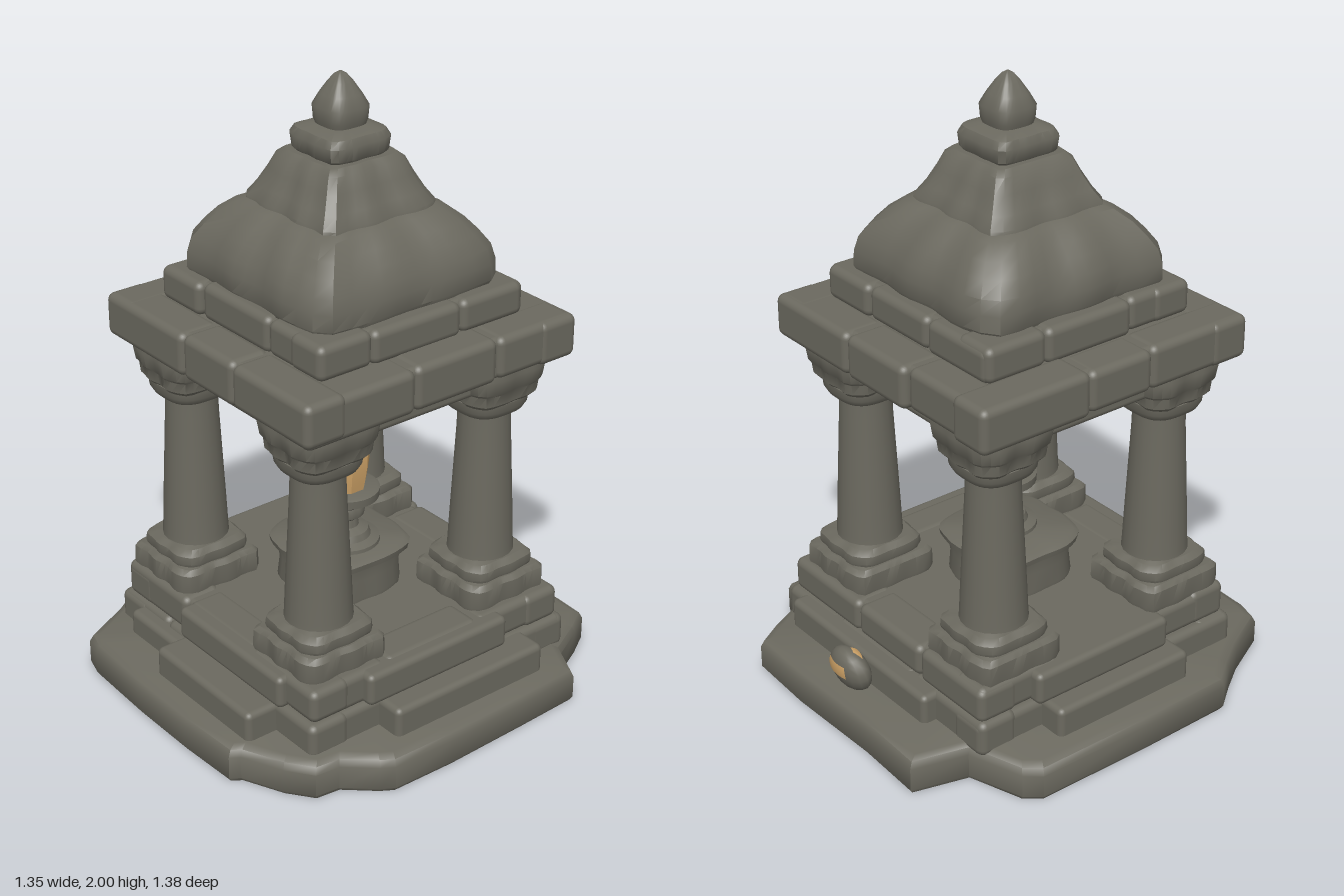
import * as THREE from 'three';
import { toCreasedNormals } from 'three/addons/utils/BufferGeometryUtils.js';
import { RoundedBoxGeometry } from 'three/addons/geometries/RoundedBoxGeometry.js';

const material = (name, color) => Object.assign(new THREE.MeshStandardMaterial({ color }), { name });
const stone = material('stone', 0x6b695f);
const wax = material('flame amber', 0xd0a468);
const ash = material('flame grey', 0x74767a);

// Small seeded jitter in -1..1
let seed = 7;
const jitter = () => {
  seed = (seed * 16807) % 2147483647;
  return (seed / 2147483647) * 2 - 1;
};

function add(parent, name, geometry, mat = stone, x = 0, y = 0, z = 0) {
  const mesh = new THREE.Mesh(geometry, mat);
  mesh.name = name;
  mesh.position.set(x, y, z);
  parent.add(mesh);
  return mesh;
}

// Unit outline between a circle (power 2) and a square (high power)
function squircle(power, n = 40) {
  return Array.from({ length: n }, (_, i) => {
    const a = ((i + 0.5) / n) * Math.PI * 2;
    const c = Math.cos(a), s = Math.sin(a);
    const r = (Math.abs(c) ** power + Math.abs(s) ** power) ** (-1 / power);
    return [c * r, s * r];
  });
}

// Stack scaled copies of an outline; sections are [y, scale, dx, dz]
function loft(outline, sections, crease = 0.6, wear = 0) {
  const n = outline.length, pos = [], index = [];
  for (const [y, s, dx = 0, dz = 0] of sections) {
    outline.forEach(([x, z]) => {
      const w = s * (1 + wear * Math.sin(9 * x + 7 * y) * Math.cos(8 * z - 5 * y));
      pos.push(x * w + dx, y, z * w + dz);
    });
  }
  for (let j = 0; j < sections.length - 1; j++) {
    for (let i = 0; i < n; i++) {
      const a = j * n + i, b = j * n + (i + 1) % n;
      index.push(a, a + n, b, b, a + n, b + n);
    }
  }
  // End caps
  [0, sections.length - 1].forEach((j) => {
    const [y, , dx = 0, dz = 0] = sections[j];
    const centre = pos.length / 3;
    pos.push(dx, y, dz);
    for (let i = 0; i < n; i++) {
      const a = j * n + i, b = j * n + (i + 1) % n;
      if (j === 0) index.push(centre, a, b);
      else index.push(centre, b, a);
    }
  });
  const g = new THREE.BufferGeometry();
  g.setAttribute('position', new THREE.Float32BufferAttribute(pos, 3));
  g.setIndex(index);
  return toCreasedNormals(g, crease);
}

// Worn block given by its limits
function block(parent, name, x0, x1, y0, y1, z0, z1, r = 0.02) {
  const g = new RoundedBoxGeometry(x1 - x0, y1 - y0, z1 - z0, 3, r);
  return add(parent, name, g, stone, (x0 + x1) / 2, (y0 + y1) / 2, (z0 + z1) / 2);
}

// Square course: a core with uneven facing blocks along each side
function course(parent, name, half, y0, y1, cuts, cx = 0, cz = 0) {
  const group = new THREE.Group();
  group.name = name;
  group.position.set(cx, 0, cz);
  parent.add(group);
  block(group, name + 'Core', -half + 0.02, half - 0.02, y0, y1 - 0.004, -half + 0.02, half - 0.02);
  for (let side = 0; side < 4; side++) {
    const face = new THREE.Group();
    face.name = name + 'Side';
    face.rotation.y = side * Math.PI / 2;
    group.add(face);
    const ends = [-1, ...cuts.map((c) => c + jitter() * 0.1), 1];
    for (let i = 0; i < ends.length - 1; i++) {
      const out = half + jitter() * 0.009;
      block(face, name + 'Block', ends[i] * half, ends[i + 1] * half,
        y0 + jitter() * 0.004, y1 + jitter() * 0.005, half - 0.14, out, 0.025);
    }
  }
}

export function createModel() {
  seed = 7;
  const model = new THREE.Group();
  model.name = 'stoneShrine';
  const square = squircle(14, 48), soft = squircle(5), round = squircle(2, 28);

  // Irregular ground slab
  const plan = [[-0.4, -0.69], [-0.15, -0.68], [0.2, -0.69], [0.42, -0.68], [0.47, -0.6], [0.53, -0.48],
    [0.65, -0.42], [0.66, -0.2], [0.67, 0.1], [0.665, 0.32], [0.64, 0.36], [0.56, 0.45], [0.55, 0.53],
    [0.47, 0.59], [0.34, 0.65], [0.32, 0.68], [0.1, 0.69], [-0.15, 0.69], [-0.4, 0.68], [-0.47, 0.66],
    [-0.55, 0.5], [-0.61, 0.41], [-0.67, 0.33], [-0.675, 0], [-0.67, -0.4], [-0.63, -0.45], [-0.45, -0.51]];
  add(model, 'groundSlab', loft(plan, [[0, 0.985], [0.015, 1], [0.09, 1], [0.112, 0.985], [0.122, 0.95]], 0.75));

  // Steps, with projecting blocks on each side
  course(model, 'lowerStep', 0.505, 0.1, 0.215, [-0.4, 0.3]);
  block(model, 'leftTread', 0.4, 0.59, 0.1, 0.215, -0.34, 0.25);
  block(model, 'rightTread', -0.59, -0.4, 0.1, 0.215, -0.27, 0.25);
  block(model, 'frontTread', -0.15, 0.33, 0.1, 0.215, 0.4, 0.615);
  block(model, 'frontTreadSide', -0.4, -0.14, 0.1, 0.2, 0.4, 0.545);
  block(model, 'backTread', -0.28, 0.43, 0.1, 0.215, -0.55, -0.4);
  course(model, 'upperStep', 0.49, 0.21, 0.322, [-0.35, 0.35]);
  block(model, 'upperStepLeft', 0.4, 0.52, 0.21, 0.318, -0.25, 0.3);
  block(model, 'upperStepRight', -0.525, -0.4, 0.21, 0.318, -0.3, 0.22);
  block(model, 'upperStepFront', -0.16, 0.36, 0.21, 0.318, 0.4, 0.52);

  // Four columns with stepped feet and flared capitals
  const shaft = [[0.107, 0.44], [0.104, 0.47], [0.1, 0.56], [0.092, 0.72], [0.084, 0.88], [0.082, 0.955]]
    .map(([r, y]) => new THREE.Vector2(r, y));
  for (const sx of [-1, 1]) for (const sz of [-1, 1]) {
    const column = new THREE.Group();
    column.name = 'column';
    column.position.set(sx * 0.318 - 0.014, 0, sz * 0.323 + 0.003);
    model.add(column);
    add(column, 'columnFoot', loft(square, [[0.31, 0.143], [0.33, 0.148], [0.385, 0.146], [0.4, 0.132]], 0.7, 0.03));
    add(column, 'columnFootTop', loft(soft, [[0.395, 0.124], [0.41, 0.13], [0.435, 0.128], [0.452, 0.11]], 0.7, 0.03));
    add(column, 'columnShaft', new THREE.LatheGeometry(shaft, 20));
    add(column, 'columnCollar', loft(squircle(3), [[0.945, 0.085], [0.955, 0.105], [0.975, 0.116],
      [1, 0.118], [1.01, 0.108]], 0.7));
    add(column, 'columnCapital', loft(soft, [[0.995, 0.112], [1.01, 0.126], [1.045, 0.13], [1.055, 0.138],
      [1.1, 0.145], [1.135, 0.14]], 0.6, 0.03));
  }

  // Lintel beams joining the capitals
  for (const s of [-1, 1]) {
    block(model, 'lintel', -0.35, 0.32, 1.04, 1.14, s * 0.32 - 0.085, s * 0.32 + 0.085);
    block(model, 'lintel', s * 0.318 - 0.099, s * 0.318 + 0.071, 1.04, 1.14, -0.32, 0.32);
  }

  // Eaves and the course above
  course(model, 'eaves', 0.505, 1.13, 1.268, [-0.3, 0.35], -0.01);
  course(model, 'roofCourse', 0.385, 1.26, 1.37, [-0.4, 0.3]);

  // Curved square roof in two stages
  add(model, 'lowerRoof', loft(square, [[1.36, 0.335], [1.38, 0.345], [1.43, 0.342], [1.475, 0.332], [1.52, 0.305],
    [1.56, 0.275], [1.595, 0.235], [1.612, 0.2]], 0.6, 0.03));
  add(model, 'upperRoof', loft(square, [[1.59, 0.215], [1.615, 0.212], [1.65, 0.19], [1.7, 0.165],
    [1.745, 0.145], [1.762, 0.125]], 0.6, 0.03));

  // Finial
  add(model, 'finialBase', loft(squircle(7), [[1.755, 0.1], [1.77, 0.114], [1.81, 0.118], [1.832, 0.106],
    [1.845, 0.07]], 0.7, 0.03));
  add(model, 'finial', loft(squircle(3.4), [[1.835, 0.062], [1.86, 0.07], [1.9, 0.073], [1.935, 0.055],
    [1.97, 0.033], [1.992, 0.016], [2, 0.004]], 0.9));

  // Altar with waisted sides
  add(model, 'altar', loft(squircle(3.5), [[0.31, 0.165], [0.33, 0.168], [0.39, 0.163], [0.43, 0.168],
    [0.445, 0.188], [0.465, 0.192], [0.475, 0.175]], 0.7, 0.02)).position.set(0.005, 0, 0.01);

  // Lamp bowl
  const lamp = new THREE.Group();
  lamp.name = 'lamp';
  lamp.position.set(0.04, 0, 0.012);
  model.add(lamp);
  add(lamp, 'lampBowl', loft(round, [[0.465, 0.11], [0.487, 0.108], [0.497, 0.08], [0.518, 0.072], [0.53, 0.042],
    [0.555, 0.038], [0.57, 0.058], [0.59, 0.062], [0.605, 0.058], [0.622, 0.085], [0.635, 0.106],
    [0.662, 0.108], [0.666, 0.098]], 0.7));

  // Faceted flame with a grey tip
  const facets = squircle(2, 8);
  add(lamp, 'flameBody', loft(facets, [[0.66, 0.062], [0.7, 0.07], [0.75, 0.077], [0.805, 0.077, 0.002],
    [0.825, 0.07, 0.004]], 0.4), wax);
  add(lamp, 'flameTip', loft(facets, [[0.822, 0.0715, 0.004], [0.85, 0.056, 0.01, 0.005],
    [0.885, 0.025, 0.02, 0.012], [0.91, 0.003, 0.024, 0.016]], 0.4), ash);

  // Fallen fragment on the back ledge
  const fragment = new THREE.Group();
  fragment.name = 'fallenFragment';
  fragment.position.set(0.04, 0.175, -0.59);
  fragment.rotation.x = -0.25;
  fragment.scale.set(0.088, 0.075, 0.048);
  model.add(fragment);
  add(fragment, 'fragmentStone', new THREE.SphereGeometry(1, 14, 10));
  add(fragment, 'fragmentBackPatch', new THREE.SphereGeometry(1.04, 8, 4, Math.PI * 1.25, 1.2, 0.95, 0.55), wax);
  add(fragment, 'fragmentTopPatch', new THREE.SphereGeometry(1.04, 6, 4, Math.PI * 0.2, 0.9, 0.35, 0.45), wax);
  return model;
}
